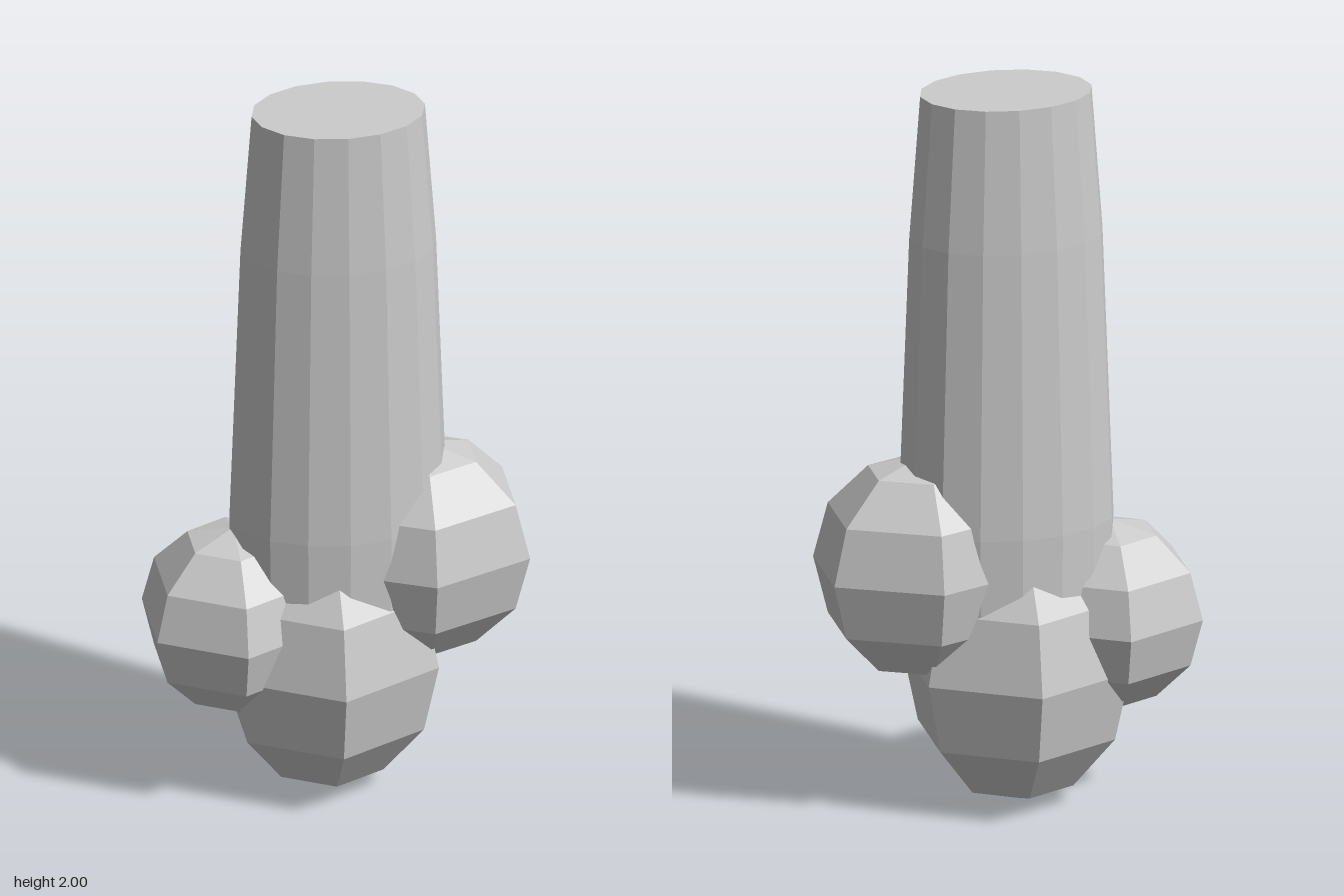
import * as THREE from 'three';

const material = new THREE.MeshStandardMaterial({ color: 0xcccccc, flatShading: true });

// Six-sided faceted ball with ridges facing front and back
function lobe(name, position, radii) {
  const geometry = new THREE.SphereGeometry(1, 6, 6).rotateY(Math.PI / 2).scale(...radii);
  const mesh = new THREE.Mesh(geometry, material);
  mesh.name = name;
  mesh.position.set(...position);
  return mesh;
}

export function createModel() {
  const group = new THREE.Group();
  group.name = 'lobedColumn';

  // Tapered oval shaft with closed ends
  const profile = [[0, 0.4], [0.285, 0.4], [0.294, 0.8], [0.264, 1.6], [0.234, 2], [0, 2]]
    .map(([r, y]) => new THREE.Vector2(r, y));
  const shaft = new THREE.Mesh(new THREE.LatheGeometry(profile, 16).scale(1, 1, 0.72), material);
  shaft.name = 'shaft';
  shaft.position.x = 0.004;
  group.add(shaft);

  // Lobes clustered around the base
  group.add(
    lobe('baseLobe', [-0.025, 0.388, 0], [0.318, 0.386, 0.319]),
    lobe('leftLobe', [0.23, 0.68, 0], [0.313, 0.31, 0.262]),
    lobe('rightLobe', [-0.28, 0.51, 0], [0.26, 0.261, 0.262])
  );
  return group;
}
